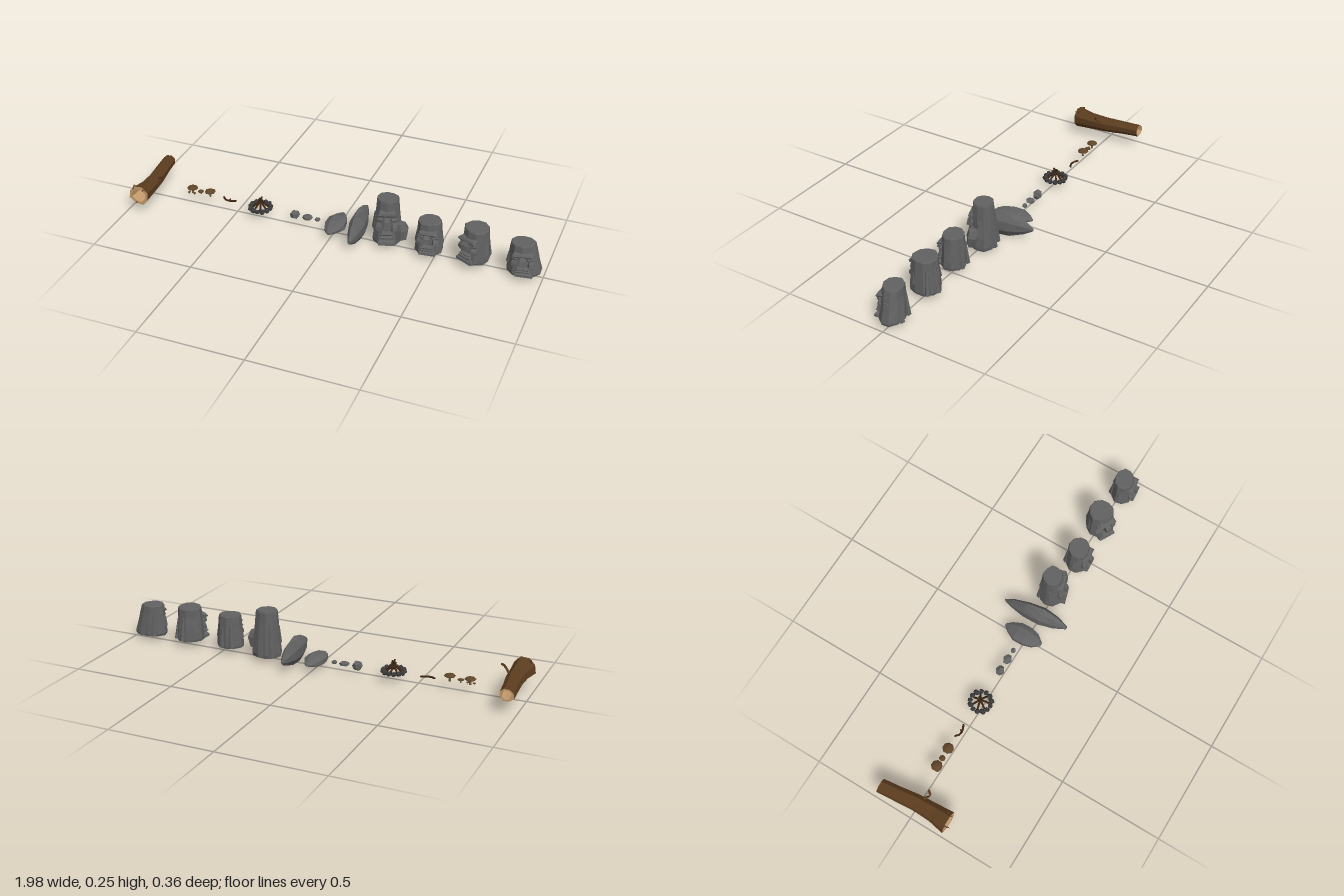
import * as THREE from 'three';

const mat = (color) => new THREE.MeshStandardMaterial({ color, flatShading: true, roughness: 1 });
const STONE = mat(0x626262), DARK = mat(0x3a3a3a), BARK = mat(0x5c3d1f), TWIG = mat(0x3d2614);
const WOOD = mat(0xc49a6c), CAP = mat(0x5f4528), STEM = mat(0x6b6440);

// Small seeded random source, range -1..1
function seeded(seed) {
  let s = seed * 7919 + 17;
  return () => ((s = (s * 16807) % 2147483647) / 2147483647) * 2 - 1;
}

// Faceted skin over rings [y, cx, cz, rx, rz]; ridges run along the full length
function loft(rings, sides, { seed = 1, ridge = 0, rough = 0, caps = true } = {}) {
  const rnd = seeded(seed);
  for (let i = 0; i < 5; i++) rnd();
  const ridges = Array.from({ length: sides }, () => 1 + rnd() * ridge);
  const pos = [], idx = [];
  for (const [y, cx, cz, rx, rz] of rings) {
    for (let j = 0; j < sides; j++) {
      const a = ((j + 0.5) / sides) * Math.PI * 2, k = ridges[j] * (1 + rnd() * rough);
      pos.push(cx + Math.cos(a) * rx * k, y, cz + Math.sin(a) * rz * k);
    }
  }
  for (let i = 0; i < rings.length - 1; i++) {
    for (let j = 0; j < sides; j++) {
      const a = i * sides + j, b = i * sides + ((j + 1) % sides), c = a + sides, d = b + sides;
      idx.push(a, c, b, b, c, d);
    }
  }
  if (caps) {
    const n = rings.length - 1;
    for (const i of [0, n]) {
      const center = pos.length / 3, [y, cx, cz] = rings[i];
      pos.push(cx, y, cz);
      for (let j = 0; j < sides; j++) {
        const a = i * sides + j, b = i * sides + ((j + 1) % sides);
        if (i === 0) idx.push(center, a, b); else idx.push(center, b, a);
      }
    }
  }
  const g = new THREE.BufferGeometry();
  g.setAttribute('position', new THREE.Float32BufferAttribute(pos, 3));
  g.setIndex(idx);
  g.computeVertexNormals();
  return g;
}

function add(parent, name, geometry, material, x = 0, y = 0, z = 0) {
  const m = new THREE.Mesh(geometry, material);
  m.name = name;
  m.position.set(x, y, z);
  parent.add(m);
  return m;
}

function group(parent, name, x = 0, y = 0, z = 0) {
  const g = new THREE.Group();
  g.name = name;
  g.position.set(x, y, z);
  parent.add(g);
  return g;
}

// Bent stick through a few points
function stick(parent, name, points, r, material = TWIG) {
  const curve = new THREE.CatmullRomCurve3(points.map((p) => new THREE.Vector3(...p)));
  add(parent, name, new THREE.TubeGeometry(curve, 4, r, 5), material);
  for (const end of [points[0], points[points.length - 1]])
    add(parent, name + 'End', new THREE.IcosahedronGeometry(r, 0), material, ...end);
}

// Faceted boulder, long in z
function boulder(parent, name, x, y, z, rx, ry, rz, seed, lean = 0) {
  const rings = [[-1, 0.1], [-0.75, 0.5], [-0.3, 0.94], [0.2, 1], [0.65, 0.7], [1, 0.18]]
    .map(([t, k]) => [t * rz, t * lean, 0, rx * k, ry * k]);
  const g = loft(rings, 8, { seed, ridge: 0.06, rough: 0.07 }).rotateX(Math.PI / 2);
  add(parent, name, g, STONE, x, y, z);
}

// Tapered stone head: body, forehead ledge, nose, eyelids, lips, chin and back ribs
function stoneHead(parent, name, { x, z, y0, h, top, base, yaw, shift = 0, seed }) {
  const head = group(parent, name, x, y0, z);
  head.rotation.y = yaw;
  const [tx, tz] = top, [bx, bz] = base;
  const at = (t) => [tx * t + bx * (1 - t), tz * t + bz * (1 - t)];
  const body = [0, 0.07, 0.45, 0.72, 0.97, 1].map((t) => {
    const [rx, rz] = at(t), k = t === 0 || t === 1 ? 0.95 : 1;
    return [t * h, shift * (1 - t), 0, rx * k, rz * k];
  });
  add(head, 'body', loft(body, 10, { seed, ridge: 0.05, rough: 0.025 }), STONE);
  // Blocks sit on the face at a height fraction: [name, side, t, width, height, depth, tilt]
  const w = tx, blocks = [
    ['brow', 0, 0.74, 1.6, 0.1, 0.028, 0.25],
    ['nose', 0, 0.54, 0.5, 0.3, 0.042, -0.3],
    ['upperLip', 0, 0.31, 1.0, 0.07, 0.028, 0.2],
    ['lowerLip', 0, 0.21, 1.15, 0.07, 0.03, -0.1],
    ['chin', 0, 0.09, 1.5, 0.14, 0.024, -0.25],
  ];
  for (const s of [-1, 1]) {
    blocks.push(['eyelid', s * 0.55, 0.6, 0.5, 0.07, 0.02, 0.15]);
    blocks.push(['cheek', s * 0.6, 0.42, 0.5, 0.17, 0.022, -0.25]);
  }
  for (const [part, side, t, bw, bh, depth, tilt] of blocks) {
    const [rx, rz] = at(t), fx = side * w;
    const fz = rz * Math.sqrt(1 - Math.min(0.8, (fx / rx) ** 2)) * 0.95;
    const H = bh * h, W = bw * w / 2;
    const g = loft([[-H / 2, 0, 0, W * 1.35, depth], [0, 0, 0, W * 1.4, depth * 1.1],
      [H / 2, 0, 0, W * 1.15, depth * 0.75]], 4, { seed: seed + bh * 50, ridge: 0.06, rough: 0.08 });
    const m = add(head, part, g, STONE, fx + shift * (1 - t), t * h, fz - depth * 0.25);
    m.rotation.set(tilt, side * 0.7, 0);
  }
  // Ears and weathered ribs
  for (const s of [-1, 1]) {
    const [rx, rz] = at(0.5);
    add(head, 'ear', loft([[-0.16 * h, 0, 0, 0.009, 0.02], [0.2 * h, -s * 0.007, 0, 0.006, 0.014]], 5,
      { seed: seed + 3, rough: 0.1 }), STONE, s * rx * 0.97 + shift / 2, 0.45 * h, 0);
    add(head, 'backRib', loft([[0.04 * h, s * bx * 0.35 + shift, -bz * 0.9, 0.014, 0.014],
      [0.75 * h, s * tx * 0.35, -tz * 0.92, 0.005, 0.006]], 5, { seed }), STONE);
  }
  return head;
}

function mushroom(parent, x, y, z, r, height) {
  const m = group(parent, 'mushroom', x, y, z);
  add(m, 'stem', new THREE.CylinderGeometry(r * 0.16, r * 0.22, height, 6), STEM, 0, height / 2, 0);
  add(m, 'cap', loft([[0, 0, 0, r * 0.95, r * 0.95], [0.003, 0, 0, r, r], [r * 0.32, 0, 0, r * 0.7, r * 0.7],
    [r * 0.5, 0, 0, r * 0.25, r * 0.25]], 8, { rough: 0.04 }), CAP, 0, height - 0.002, 0);
  add(m, 'gills', new THREE.ConeGeometry(r * 0.9, 0.004, 8).rotateX(Math.PI), STEM, 0, height - 0.003, 0);
}

export function createModel() {
  const model = new THREE.Group();
  model.name = 'campAndStoneHeads';

  // Hollow log, narrow at the back
  const log = group(model, 'hollowLog');
  const bark = [[-0.178, -0.958, -0.095, 0.033, 0.029], [-0.1, -0.95, -0.094, 0.034, 0.031],
    [0, -0.938, -0.091, 0.037, 0.036], [0.09, -0.936, -0.09, 0.041, 0.04], [0.17, -0.941, -0.092, 0.051, 0.05]];
  const hollow = (r, k) => [r[0], r[1], r[2], r[3] * k, r[4] * k];
  const [back, front] = [bark[0], bark[4]];
  const opt = { seed: 4, ridge: 0.09, caps: false };
  add(log, 'bark', loft(bark, 8, opt).rotateX(Math.PI / 2), BARK);
  add(log, 'innerWood', loft([front, hollow(front, 0.7), hollow(bark[2], 0.75), hollow(back, 0.75), back], 8, opt)
    .rotateX(Math.PI / 2), WOOD);
  // Splinters on the front rim
  for (const a of [0.9, 2.2, 4.4]) {
    const s = add(log, 'splinter', new THREE.ConeGeometry(0.011, 0.03, 4).rotateX(Math.PI / 2), BARK,
      -0.941 + Math.cos(a) * 0.043, 0.092 + Math.sin(a) * 0.043, 0.168);
    s.rotation.z = a;
  }
  stick(log, 'branch', [[-0.915, 0.11, 0.02], [-0.895, 0.122, 0.035], [-0.888, 0.13, 0.045], [-0.873, 0.147, 0.03]], 0.006, BARK);

  // Mushrooms
  mushroom(model, -0.747, 0.044, -0.016, 0.027, 0.027);
  mushroom(model, -0.703, 0.046, -0.016, 0.015, 0.015);
  mushroom(model, -0.652, 0.044, -0.016, 0.027, 0.027);
  for (const dx of [-0.015, 0.014]) mushroom(model, -0.747 + dx, 0.04, -0.006, 0.007, 0.01);

  // Fallen twig
  const twig = group(model, 'fallenTwig');
  stick(twig, 'twig', [[-0.583, 0.05, -0.024], [-0.565, 0.047, -0.01], [-0.545, 0.046, -0.009], [-0.518, 0.046, -0.021]], 0.005);
  stick(twig, 'twigFork', [[-0.56, 0.047, -0.01], [-0.55, 0.046, -0.014], [-0.545, 0.05, -0.018]], 0.003);

  // Campfire: ring of stones around leaning sticks
  const fire = group(model, 'campfire', -0.383, 0.035, -0.012);
  for (let i = 0; i < 13; i++) {
    const a = (i / 13) * Math.PI * 2;
    const s = add(fire, 'ringStone', new THREE.DodecahedronGeometry(0.013, 0), DARK,
      Math.cos(a) * 0.049, 0.014, Math.sin(a) * 0.049);
    s.rotation.set(i, i * 2, 0);
    s.scale.set(1, 0.9 + 0.15 * (i % 3), 0.95);
  }
  for (let i = 0; i < 7; i++) {
    const a = (i / 7) * Math.PI * 2 + 0.3, c = Math.cos(a), s = Math.sin(a), top = 0.05 + 0.006 * (i % 3);
    stick(fire, 'fireStick', [[c * 0.038, 0.008, s * 0.038], [c * 0.015, 0.032, s * 0.015], [-c * 0.009, top, -s * 0.009]], 0.005);
  }

  // Pebbles: [x, y, rx, ry]
  for (const [x, y, rx, ry] of [[-0.206, 0.044, 0.025, 0.025], [-0.141, 0.043, 0.026, 0.011], [-0.09, 0.043, 0.014, 0.011]])
    add(model, 'pebble', new THREE.DodecahedronGeometry(1, 0), STONE, x, y, -0.016).scale.set(rx, ry, rx * 0.9);

  // Boulders
  boulder(model, 'smallBoulder', 0.003, 0.043, -0.017, 0.053, 0.029, 0.098, 3);
  boulder(model, 'largeBoulder', 0.116, 0.066, -0.017, 0.04, 0.064, 0.161, 5, 0.014);

  // Stone heads, tallest first
  const tall = stoneHead(model, 'tallStoneHead', { x: 0.258, z: -0.012, y0: 0.022, h: 0.228, top: [0.052, 0.046],
    base: [0.072, 0.062], yaw: 0.3, seed: 11 });
  add(tall, 'sideRock', loft([[0, 0, 0, 0.03, 0.03], [0.05, 0.004, 0, 0.034, 0.03], [0.08, 0, 0, 0.026, 0.022]], 6,
    { seed: 8, rough: 0.12 }), STONE, 0.062, 0.03, 0.03);
  stoneHead(model, 'narrowStoneHead', { x: 0.468, z: 0.008, y0: 0.03, h: 0.16, top: [0.054, 0.049],
    base: [0.068, 0.058], yaw: 0.1, seed: 21 });
  stoneHead(model, 'turnedStoneHead', { x: 0.685, z: 0.002, y0: 0.035, h: 0.165, top: [0.058, 0.055],
    base: [0.071, 0.069], yaw: -0.5, seed: 31 });
  stoneHead(model, 'broadStoneHead', { x: 0.898, z: 0.01, y0: 0.025, h: 0.155, top: [0.055, 0.046],
    base: [0.083, 0.058], yaw: 0.15, shift: 0.014, seed: 41 });

  return model;
}
